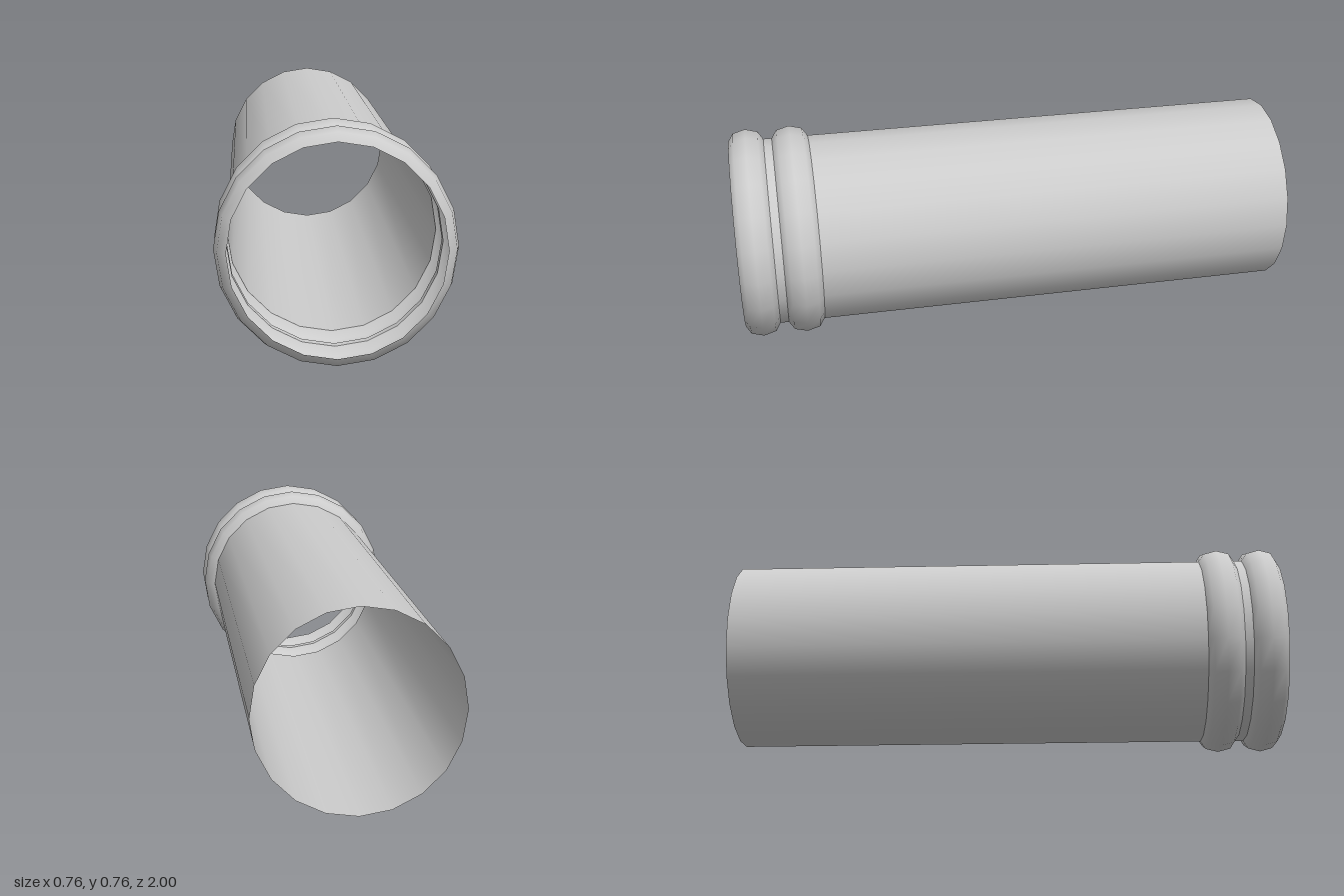
import * as THREE from 'three';

const SIDES = 20;
const TUBE_R = 0.341;   // radius of the plain pipe
const RIB_H = 0.04;     // how far a rib bulges out
const CENTRE_Y = TUBE_R + RIB_H;

export function createModel() {
  const group = new THREE.Group();
  group.name = 'ribbedPipe';
  const material = new THREE.MeshStandardMaterial({ color: 0xcccccc, side: THREE.DoubleSide });

  // Open thin shell turned around the z axis from [radius, z] points
  function addShell(name, points) {
    const profile = points.map(([r, z]) => new THREE.Vector2(r, z));
    const geometry = new THREE.LatheGeometry(profile, SIDES);
    geometry.rotateX(Math.PI / 2);
    const mesh = new THREE.Mesh(geometry, material);
    mesh.name = name;
    mesh.position.y = CENTRE_Y;
    group.add(mesh);
  }

  // Half-oval bulge between two z positions
  function addRib(name, z0, z1) {
    const points = [];
    for (let i = 0; i <= 4; i++) {
      const a = (i / 4) * Math.PI;
      points.push([
        TUBE_R + RIB_H * Math.sin(a),
        (z0 + z1) / 2 - ((z1 - z0) / 2) * Math.cos(a),
      ]);
    }
    addShell(name, points);
  }

  // Separate sections keep the joints crisp
  addShell('pipeBody', [[TUBE_R, -1], [TUBE_R, 0.715]]);
  addRib('rearRib', 0.715, 0.845);
  addShell('neck', [[TUBE_R, 0.845], [TUBE_R, 0.875]]);
  addRib('frontRib', 0.875, 1);

  return group;
}
